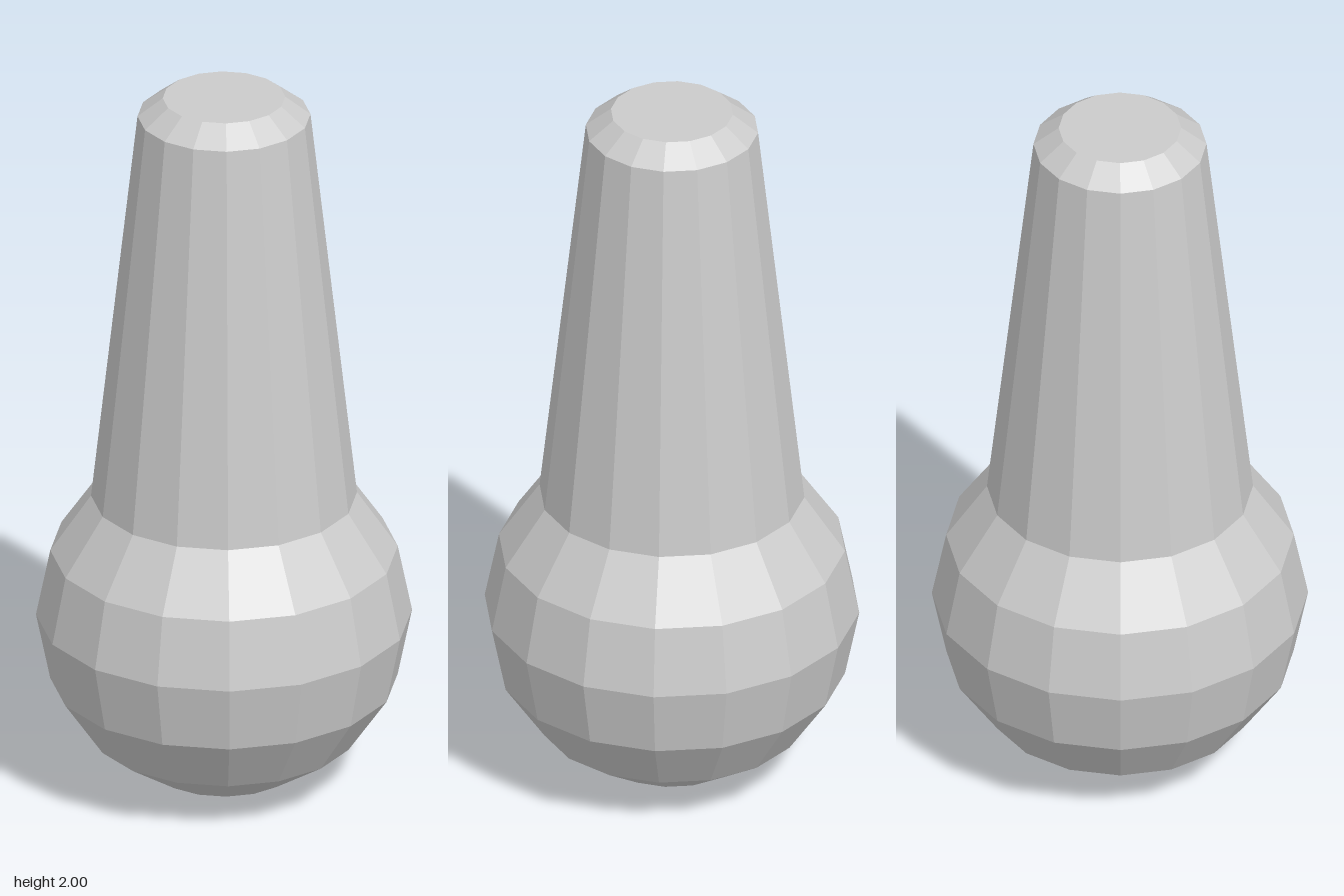
import * as THREE from 'three';

const SIDES = 16;
const RADIUS = 0.5;
const HALF_HEIGHT = 0.49;

export function createModel() {
  const group = new THREE.Group();
  group.name = 'peg';
  const material = new THREE.MeshStandardMaterial({ color: 0xcccccc, flatShading: true });

  // Revolves a bottom-to-top profile of [radius, y] pairs
  const addTurned = (name, profile) => {
    const points = profile.map(([r, y]) => new THREE.Vector2(r, y));
    const mesh = new THREE.Mesh(new THREE.LatheGeometry(points, SIDES), material);
    mesh.name = name;
    group.add(mesh);
  };

  // Slightly flattened ball, open where the shaft begins
  const ball = [];
  for (let i = 0; i <= 6; i++) {
    const a = (i * Math.PI) / 8;
    ball.push([i === 0 ? 0 : RADIUS * Math.sin(a), HALF_HEIGHT * (1 - Math.cos(a))]);
  }
  addTurned('ball', ball);

  // Tapered shaft rising from the ball's last ring
  const rim = [0.23, 1.948];
  addTurned('shaft', [ball[6], rim]);

  // Bevelled, flat-topped end
  addTurned('tip', [rim, [0.163, 2], [0, 2]]);

  return group;
}
